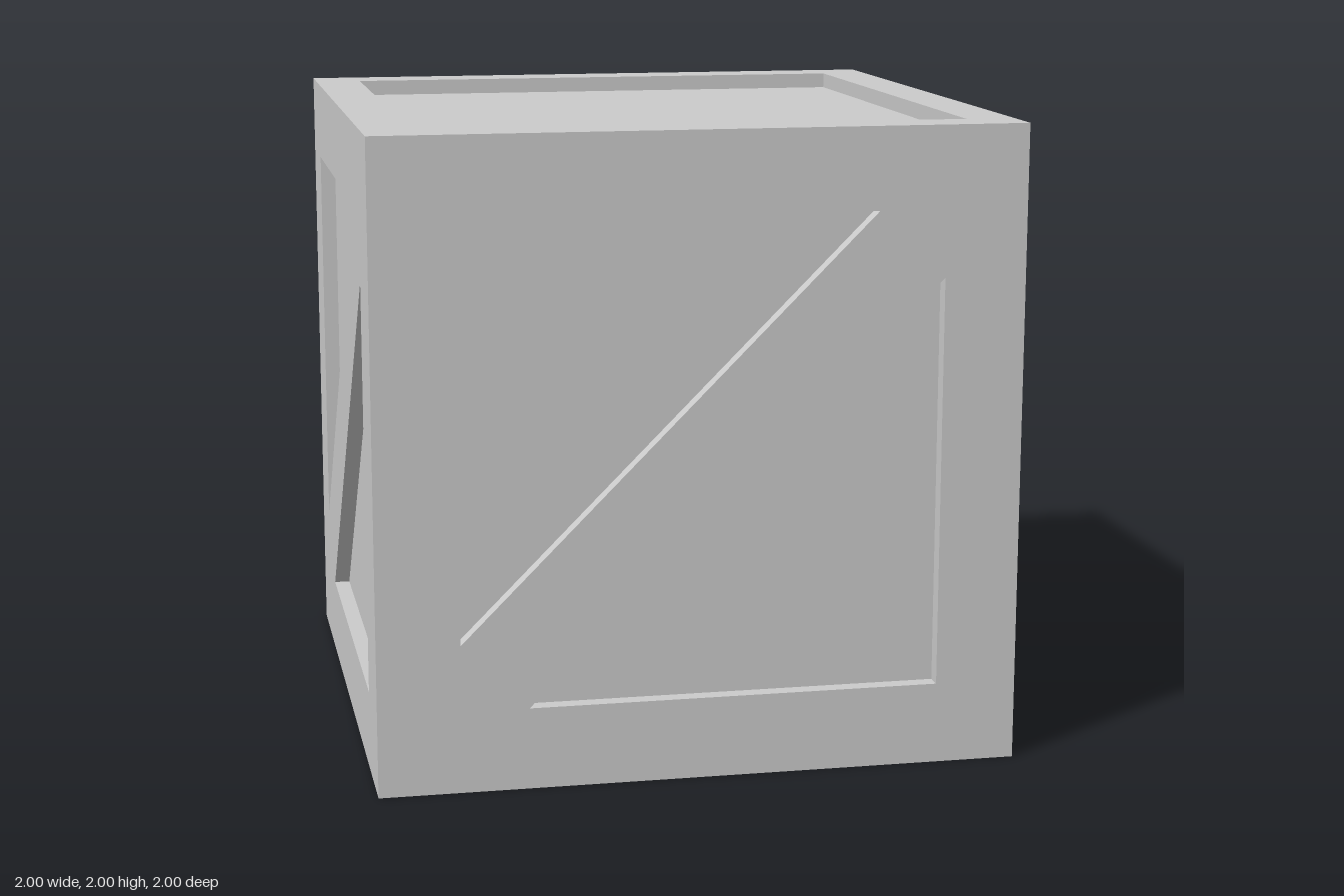
import * as THREE from 'three';

const DEPTH = 0.05; // how far the panels sit behind the frames

// Square frame with cut-outs, mitred on its back edge so six of them close into a cube
function frameGeometry(holes) {
  const polygon = (pts) => pts.map(([x, y]) => new THREE.Vector2(x, y));
  const shape = new THREE.Shape(polygon([[-1, -1], [1, -1], [1, 1], [-1, 1]]));
  for (const pts of holes) shape.holes.push(new THREE.Path(polygon(pts)));
  const geometry = new THREE.ExtrudeGeometry(shape, { depth: DEPTH, bevelEnabled: false });
  const pos = geometry.attributes.position;
  for (let i = 0; i < pos.count; i++) {
    if (pos.getZ(i) > DEPTH / 2) continue;
    for (const axis of [0, 1]) {
      const v = pos.getComponent(i, axis);
      if (Math.abs(v) > 0.99) pos.setComponent(i, axis, Math.sign(v) * (1 - DEPTH));
    }
  }
  geometry.translate(0, 0, 1 - DEPTH);
  geometry.computeVertexNormals();
  return geometry;
}

export function createModel() {
  const crate = new THREE.Group();
  crate.name = 'crate';
  const material = new THREE.MeshStandardMaterial({ color: 0xcccccc, flatShading: true });

  const add = (name, geometry, rx = 0, ry = 0) => {
    const mesh = new THREE.Mesh(geometry, material);
    mesh.name = name;
    mesh.position.y = 1;
    mesh.rotation.set(rx, ry, 0);
    crate.add(mesh);
  };

  // Inner box forms the recessed panels
  const inner = 2 * (1 - DEPTH);
  add('innerPanels', new THREE.BoxGeometry(inner, inner, inner));

  // Side frames: two triangular openings either side of a diagonal brace
  const a = 0.745, b = 0.537;
  const upper = [[-a, a], [b, a], [-a, -b]];
  const lower = upper.map(([x, y]) => [-x, -y]);
  const sideFrame = frameGeometry([upper, lower]);
  ['frontFrame', 'leftFrame', 'backFrame', 'rightFrame'].forEach((name, i) =>
    add(name, sideFrame, 0, i * Math.PI / 2));

  // Lid and base frames: one square opening each
  const s = 0.848;
  const squareFrame = frameGeometry([[[-s, -s], [-s, s], [s, s], [s, -s]]]);
  add('topFrame', squareFrame, -Math.PI / 2);
  add('bottomFrame', squareFrame, Math.PI / 2);

  return crate;
}
